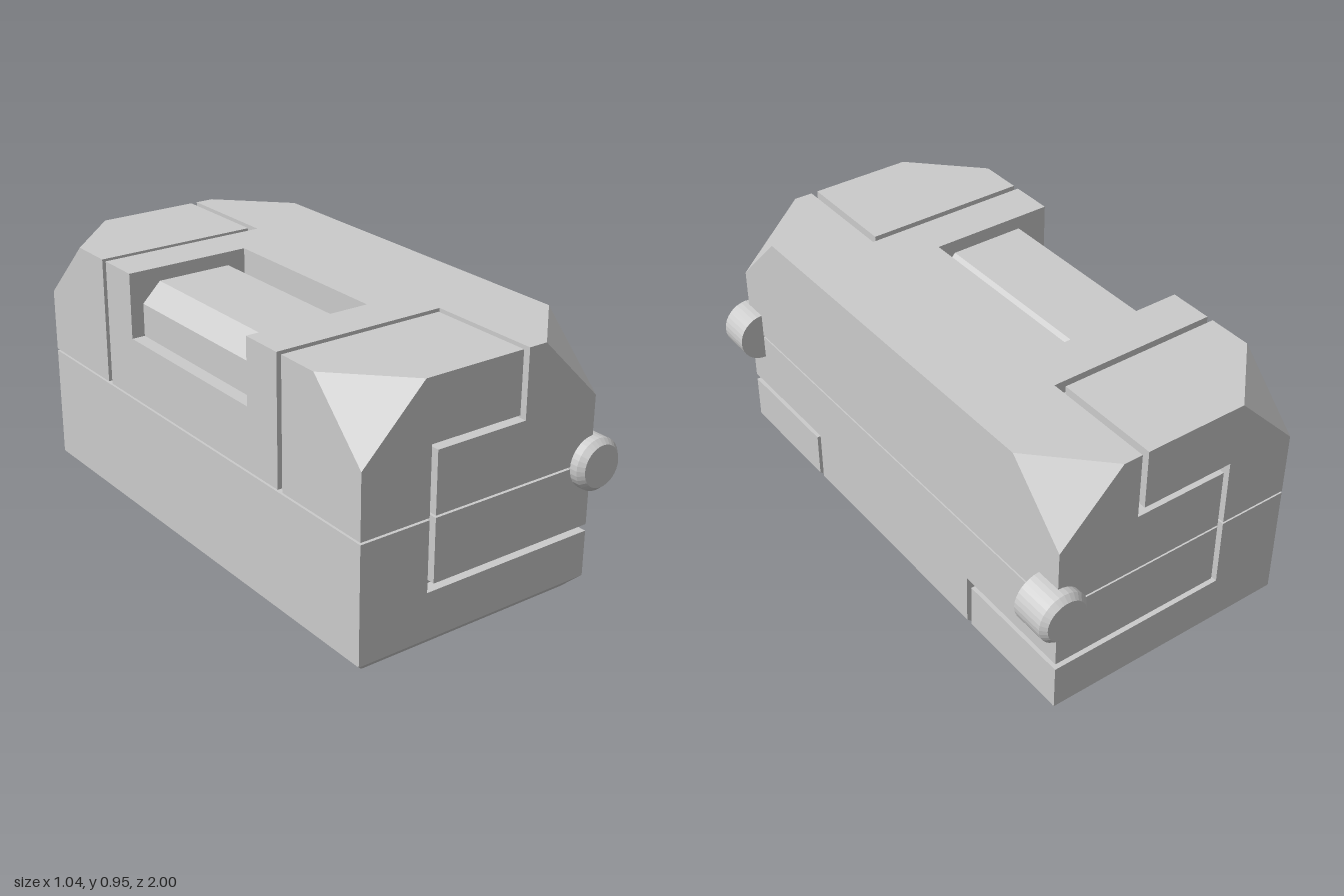
import * as THREE from 'three';
import { ConvexGeometry } from 'three/addons/geometries/ConvexGeometry.js';

// Outer limits of the case, groove depth, corner cut and bottom bevel
const X0 = -0.525, X1 = 0.425, H = 0.95, Z = 0.95;
const DEPTH = 0.047, CUT = 0.235, BEVEL = 0.05;
const SEAM_LO = 0.475, SEAM_HI = 0.483;
const NOTCH_X = -0.05, NOTCH_Y = 0.71, NOTCH_Z = 0.36;

const mat = new THREE.MeshStandardMaterial({ color: 0xcccccc, flatShading: true });

function add(parent, name, geometry) {
  const mesh = new THREE.Mesh(geometry, mat);
  mesh.name = name;
  parent.add(mesh);
  return mesh;
}

function extrude(points, depth) {
  const shape = new THREE.Shape(points.map(([a, b]) => new THREE.Vector2(a, b)));
  return new THREE.ExtrudeGeometry(shape, { depth, bevelEnabled: false });
}

const flip = (pts) => pts.map(([a, b]) => [-a, b]);
// Complete a half outline (given on the positive side of the first coordinate)
const mirrored = (half) => [...half, ...flip(half).reverse()];
const hull = (pts) => new ConvexGeometry(pts.map((p) => new THREE.Vector3(...p)));

export function createModel() {
  const model = new THREE.Group();
  model.name = 'case';

  // Inner core: forms the floors of the grooves and the walls of the handle recess
  const c = { x0: X0 + DEPTH, x1: X1 - DEPTH, z: Z - DEPTH, k: 0.1 };
  const lower = new THREE.BoxGeometry(c.x1 - c.x0, NOTCH_Y - BEVEL, 2 * c.z);
  lower.translate((c.x0 + c.x1) / 2, (NOTCH_Y + BEVEL) / 2, 0);
  add(model, 'lowerCore', lower);
  const plan = mirrored([
    [NOTCH_Z, NOTCH_X], [NOTCH_Z, c.x0], [c.z - c.k, c.x0], [c.z, c.x0 + c.k],
    [c.z, c.x1 - c.k], [c.z - c.k, c.x1],
  ]).map(([z, x]) => [x, z]);
  const upper = extrude(plan, H - DEPTH - NOTCH_Y);
  upper.rotateX(-Math.PI / 2).translate(0, NOTCH_Y, 0);
  add(model, 'upperCore', upper);

  // Front and back panels, separated by the stepped groove and the seam
  const endPanels = {
    LowerFrame: [[X0, BEVEL], [X1, BEVEL], [X1, 0.22], [-0.26, 0.22], [-0.26, SEAM_LO], [X0, SEAM_LO]],
    LowerInset: [[-0.235, 0.245], [X1, 0.245], [X1, SEAM_LO], [-0.235, SEAM_LO]],
    UpperFrame: [[X0, SEAM_HI], [-0.26, SEAM_HI], [-0.26, 0.73], [0.095, 0.73], [0.095, H],
      [X0 + CUT, H], [X0, H - CUT]],
    UpperInset: [[-0.235, SEAM_HI], [X1, SEAM_HI], [X1, H - CUT], [X1 - CUT, H], [0.12, H],
      [0.12, 0.705], [-0.235, 0.705]],
  };
  for (const [name, pts] of Object.entries(endPanels)) {
    add(model, 'front' + name, extrude(pts, DEPTH).translate(0, 0, Z - DEPTH));
    add(model, 'back' + name, extrude(flip(pts), DEPTH).translate(0, 0, Z - DEPTH).rotateY(Math.PI));
  }

  // Left side panels (hinge side)
  const left = (name, pts) =>
    add(model, name, extrude(pts, DEPTH).translate(0, 0, X1 - DEPTH).rotateY(Math.PI / 2));
  left('leftLowerPanel', mirrored([[0.47, BEVEL], [0.47, 0.245], [Z, 0.245], [Z, SEAM_LO]]));
  left('leftUpperPanel', mirrored([[Z, SEAM_HI], [Z, H - CUT], [Z - CUT, H]]));
  const foot = [[0.495, BEVEL], [Z, BEVEL], [Z, 0.22], [0.495, 0.22]];
  left('leftCornerPanel', foot);
  left('leftCornerPanel', flip(foot));

  // Right side panels (handle side)
  const right = (name, pts) =>
    add(model, name, extrude(pts, DEPTH).translate(0, 0, -X0 - DEPTH).rotateY(-Math.PI / 2));
  right('rightLowerPanel', mirrored([[Z, BEVEL], [Z, SEAM_LO]]));
  right('rightMiddlePanel', mirrored([[0.525, SEAM_HI], [0.525, H], [NOTCH_Z, H], [NOTCH_Z, NOTCH_Y]]));
  const cheek = [[0.55, SEAM_HI], [Z, SEAM_HI], [Z, H - CUT], [Z - CUT, H], [0.55, H]];
  right('rightCornerPanel', cheek);
  right('rightCornerPanel', flip(cheek));

  // Top panels, outlined as [z, x]
  const top = (name, pts) => add(model, name,
    extrude(pts.map(([z, x]) => [x, -z]), DEPTH).rotateX(-Math.PI / 2).translate(0, H - DEPTH, 0));
  top('topPanel', mirrored([
    [NOTCH_Z, NOTCH_X], [NOTCH_Z, X0], [0.525, X0], [0.525, 0.12], [Z, 0.12],
    [Z, X1 - CUT], [Z - CUT, X1],
  ]));
  const lid = [[0.55, X0], [0.55, 0.095], [Z, 0.095], [Z, X0 + CUT], [Z - CUT, X0]];
  top('topCornerPanel', lid);
  top('topCornerPanel', flip(lid));

  // Bevelled base, split by the two grooves that wrap underneath
  const clamp = THREE.MathUtils.clamp;
  const basePiece = (x0, x1, z0, z1) => {
    const pts = [];
    for (const x of [x0, x1]) for (const z of [z0, z1]) {
      pts.push([x, BEVEL, z]);
      pts.push([clamp(x, X0 + BEVEL, X1 - BEVEL), 0, clamp(z, BEVEL - Z, Z - BEVEL)]);
    }
    add(model, 'base', hull(pts));
  };
  basePiece(X0, -0.05, -Z, Z);
  basePiece(-0.05, X1, -0.47, 0.47);
  basePiece(-0.05, X1, 0.495, Z);
  basePiece(-0.05, X1, -Z, -0.495);

  // Cut-off upper corners
  for (const [x, sx] of [[X0, -1], [X1, 1]]) for (const s of [-1, 1]) {
    add(model, 'cutCorner', hull([
      [x - sx * CUT, H, s * Z], [x, H - CUT, s * Z], [x, H, s * (Z - CUT)],
      [x - sx * 0.15, H - 0.15, s * (Z - 0.15)],
    ]));
  }

  // Handle bar with bevelled upper edges, spanning the recess
  const bar = [[-0.475, NOTCH_Y], [NOTCH_X, NOTCH_Y], [NOTCH_X, 0.83], [-0.12, 0.9], [-0.405, 0.9], [-0.475, 0.83]];
  add(model, 'handle', extrude(bar, 2 * NOTCH_Z).translate(0, 0, -NOTCH_Z));

  // Hinge pins at both ends
  const profile = [[0, 0], [0.094, 0], [0.094, 0.125], [0.076, 0.145], [0, 0.145]]
    .map(([r, y]) => new THREE.Vector2(r, y));
  for (const s of [-1, 1]) {
    const pin = add(model, 'hingePin', new THREE.LatheGeometry(profile, 32));
    pin.rotation.x = s * Math.PI / 2;
    pin.position.set(X1, 0.478, s * 0.855);
  }

  return model;
}
